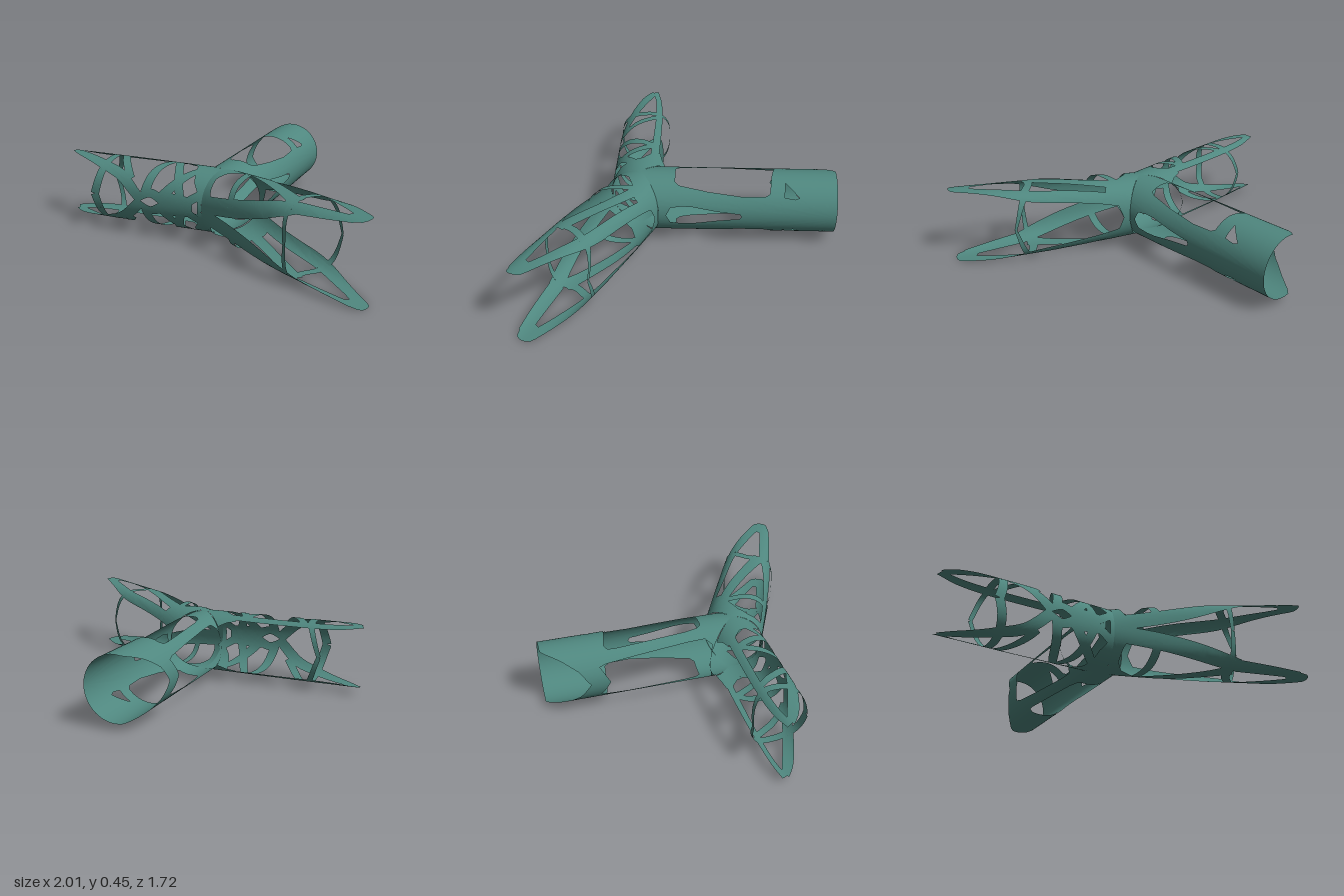
import * as THREE from 'three';
import { mergeVertices } from 'three/addons/utils/BufferGeometryUtils.js';

const R = 0.185, MID_Y = 0.228, HUB_Z = 0.285;
const RAD = Math.PI / 180;

// Unrolled coordinates: distance along the arm, and angle from the crest (degrees) as arc length
const flat = ([u, a]) => new THREE.Vector2(u, a * RAD * R);

// Closed panel with optional holes, in unrolled coordinates
function panel(outline, holes = []) {
  const shape = new THREE.Shape(outline.map(flat));
  for (const h of holes) shape.holes.push(new THREE.Path(h.map(flat)));
  return shape;
}

// Ribbon of width w (tapering to w2) following a smooth path
function strip(w, points, w2 = w) {
  const curve = new THREE.SplineCurve(points.map(flat));
  const left = [], right = [], n = 24;
  for (let i = 0; i <= n; i++) {
    const p = curve.getPoint(i / n), t = curve.getTangent(i / n);
    const h = THREE.MathUtils.lerp(w, w2, i / n) / 2;
    left.push(new THREE.Vector2(p.x - t.y * h, p.y + t.x * h));
    right.unshift(new THREE.Vector2(p.x + t.y * h, p.y - t.x * h));
  }
  return new THREE.Shape([...left, ...right]);
}

// Mitre line where an arm meets its two neighbours
function mitre(kNeg, kPos, from, to) {
  const pts = [];
  for (let a = from; a <= to; a += 10) {
    pts.push([R * Math.abs(Math.sin(a * RAD)) * (a < 0 ? kNeg : kPos), a]);
  }
  return pts;
}

// Split long edges so that flat shapes can be wrapped smoothly
function subdivide(shape, limit) {
  const g = new THREE.ShapeGeometry(shape, 6);
  const p = g.attributes.position, idx = g.index.array, done = [], todo = [];
  for (let i = 0; i < idx.length; i += 3) {
    todo.push([0, 1, 2].map((k) => new THREE.Vector2(p.getX(idx[i + k]), p.getY(idx[i + k]))));
  }
  while (todo.length) {
    const t = todo.pop();
    const len = [0, 1, 2].map((k) => t[k].distanceTo(t[(k + 1) % 3]));
    const k = len.indexOf(Math.max(...len));
    if (len[k] < limit) { done.push(t); continue; }
    const a = t[k], b = t[(k + 1) % 3], c = t[(k + 2) % 3];
    const m = a.clone().add(b).multiplyScalar(0.5);
    todo.push([a, m, c], [m, b, c]);
  }
  return done;
}

// Wrap shapes round an arm and mirror them to the underside
function buildArm(name, material, arm, shapes) {
  const { dir, side, neg, pos, tall, box } = arm;
  const wrap = (v, flip) => {
    const u = v.x, a = v.y / R, s = Math.sin(a), c = Math.cos(a);
    const e = 2 + box * Math.min(1, Math.max(0, u) / 0.6);
    const k = Math.pow(Math.abs(s) ** e + Math.abs(c) ** e, -1 / e);
    const l = s * k * (R + (s < 0 ? neg : pos) * u);
    const h = c * k * (R + tall * u);
    return [dir[0] * u + side[0] * l, MID_Y + flip * h, HUB_Z + dir[1] * u + side[1] * l];
  };
  const xyz = [];
  for (const shape of shapes) {
    for (const [a, b, c] of subdivide(shape, 0.025)) {
      for (const v of [a, b, c]) xyz.push(...wrap(v, 1));
      for (const v of [a, c, b]) xyz.push(...wrap(v, -1));
    }
  }
  let g = new THREE.BufferGeometry();
  g.setAttribute('position', new THREE.Float32BufferAttribute(xyz, 3));
  g = mergeVertices(g, 1e-4);
  g.computeVertexNormals();
  const mesh = new THREE.Mesh(g, material);
  mesh.name = name;
  return mesh;
}

export function createModel() {
  const group = new THREE.Group();
  group.name = 'branchedLatticeTube';
  const teal = new THREE.MeshStandardMaterial({ color: 0x4f877f, side: THREE.DoubleSide });
  teal.name = 'teal';

  // Back arm: mostly solid sleeve with long windows
  const sleeve = panel([
    ...mitre(1, 0.613, -90, 90),
    [0.155, 90], [0.18, 74], [0.25, 71], [0.31, 72], [0.45, 80], [0.55, 84], [0.585, 85], [0.595, 90],
    [1.145, 90], [1.145, -12], [1.12, -20], [1.04, -38], [0.95, -62], [0.89, -90],
    [0.775, -90], [0.81, -70], [0.83, -59], [0.79, -55], [0.6, -49], [0.3, -41], [0.2, -40], [0.165, -52], [0.19, -90],
  ], [
    [[0.205, -10], [0.23, -16], [0.3, -20], [0.5, -25], [0.73, -30], [0.77, -29], [0.785, -22],
      [0.765, 10], [0.755, 46], [0.73, 51], [0.6, 52], [0.4, 44], [0.23, 33], [0.205, 26]],
    [[0.845, 25], [0.925, 52], [0.9, 55], [0.84, 52]],
  ]);
  group.add(buildArm('backSleeve', teal,
    { dir: [0, -1], side: [1, 0], neg: 0, pos: 0, tall: 0, box: 0 }, [sleeve]));

  // Right arm: straight lattice
  group.add(buildArm('rightLattice', teal,
    { dir: [-1, 0], side: [0, 1], neg: -0.073, pos: 0, tall: 0, box: 0.4 }, [
      panel([...mitre(1, 0.24, -50, 90), [0.07, 90], [0.07, 65], [0.11, 45], [0.13, 20],
        [0.15, 0], [0.2, -14], [0.25, -20], [0.24, -36], [0.19, -40]]),
      strip(0.055, [[0.12, -22], [0.4, -26], [0.7, -28], [0.88, -24], [0.995, -12]], 0.06), // back rail
      strip(0.06, [[0.98, -8], [0.9, 9], [0.72, 32], [0.56, 52], [0.43, 88]], 0.065), // front rail
      strip(0.045, [[0.66, -25], [0.59, 15], [0.5, 54]]), // diagonals
      strip(0.045, [[0.3, -22], [0.36, 25], [0.4, 75]], 0.06),
      strip(0.045, [[0.3, -22], [0.23, 25], [0.17, 82]], 0.055),
      strip(0.045, [[0.08, 5], [0.17, 35], [0.31, 84]], 0.06),
      strip(0.04, [[0.46, 88], [0.37, 74], [0.29, 84]], 0.06), // front spine
      strip(0.12, [[0.31, 88], [0.2, 85], [0.1, 86]], 0.08),
      strip(0.05, [[0.16, 86], [0.08, 70], [0.03, 60]]),
      strip(0.045, [[0.7, -28], [0.695, 20], [0.71, 60], [0.735, 90]], 0.055), // ring
      strip(0.035, [[0.7, -28], [0.73, -55], [0.77, -90]], 0.025),
    ]));

  // Left arm: flaring lattice
  group.add(buildArm('leftLattice', teal,
    { dir: [0.891, 0.454], side: [-0.454, 0.891], neg: -0.035, pos: -0.02, tall: 0.036, box: 1.3 }, [
      panel([...mitre(0.613, 0.24, -90, 90), [0.13, 90], [0.12, 70], [0.09, 52], [0.07, 30],
        [0.09, 8], [0.16, -14], [0.24, -34], [0.25, -58], [0.18, -66], [0.15, -90]]),
      strip(0.065, [[0.12, -62], [0.26, -52], [0.435, -45], [0.7, -37], [0.92, -17], [1.085, 4]], 0.075), // back rail
      panel([[1.02, 6], [1.1, -6], [1.122, -2], [1.134, 8], [1.136, 18], [1.125, 26], [1.06, 33], [1.0, 22]]), // tip
      strip(0.065, [[1.08, 22], [0.93, 29], [0.72, 36]], 0.075), // front rail
      strip(0.1, [[0.05, 80], [0.29, 69], [0.51, 55], [0.74, 36]], 0.075),
      strip(0.06, [[0.12, -30], [0.378, -10], [0.7, 26]], 0.08), // diagonals
      strip(0.045, [[0.72, -34], [0.678, 3], [0.69, 36]], 0.05),
      strip(0.045, [[0.155, -28], [0.213, 6], [0.26, 40], [0.29, 68]]),
      strip(0.04, [[0.72, -38], [0.755, -60], [0.79, -90]], 0.014), // ring
      strip(0.035, [[0.69, 33], [0.7, 60], [0.705, 90]], 0.02),
    ]));

  return group;
}
